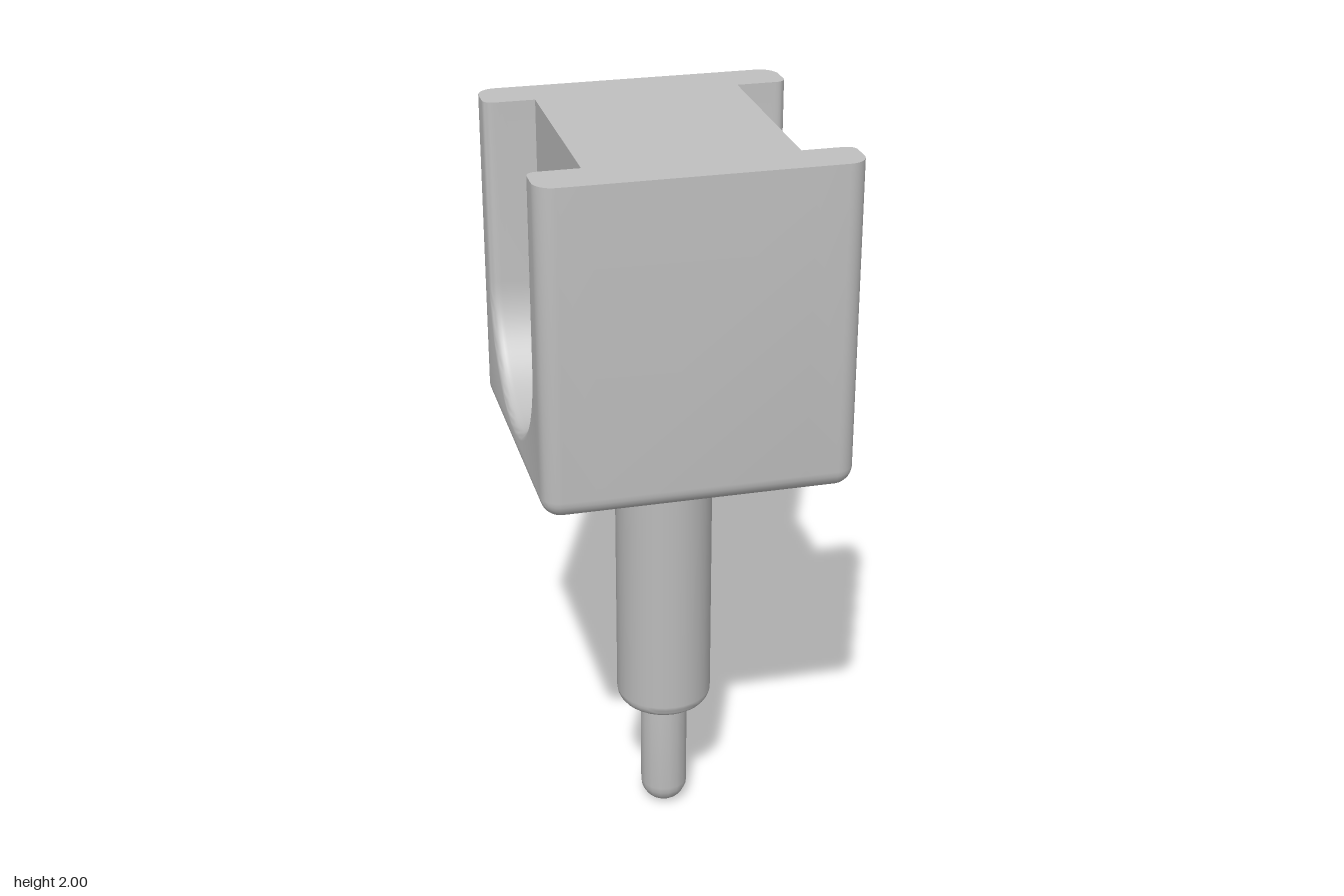
import * as THREE from 'three';
import { toCreasedNormals } from 'three/addons/utils/BufferGeometryUtils.js';

const HALF = 0.4, BOTTOM = 1.145, TOP = 2, ROUND = 0.05;
const SLOT_X = 0.267, SLOT_R = 0.277, SLOT_Y = 1.515, SLOT_ROUND = 0.025;

// Block outline, counterclockwise: inset shrinks the outside, flare widens the slot
function outline(inset, flare, slot) {
  const w = HALF - inset, low = BOTTOM + inset, r = Math.max(ROUND - inset, 0.002);
  const pts = [];
  const arc = (cx, cy, rad, from, to, n) => {
    for (let i = 0; i <= n; i++) {
      const t = from + (to - from) * i / n;
      pts.push(new THREE.Vector2(cx + rad * Math.cos(t), cy + rad * Math.sin(t)));
    }
  };
  arc(-w + r, low + r, r, Math.PI, Math.PI * 1.5, 6);
  arc(w - r, low + r, r, Math.PI * 1.5, Math.PI * 2, 6);
  pts.push(new THREE.Vector2(w, TOP));
  if (slot) {
    const R = SLOT_R + flare;
    pts.push(new THREE.Vector2(R, TOP));
    arc(0, SLOT_Y, R, 0, -Math.PI, 32);
    pts.push(new THREE.Vector2(-R, TOP));
  }
  pts.push(new THREE.Vector2(-w, TOP));
  return pts;
}

// Side wall with the U-shaped slot, lofted outwards along +x
function cheekGeometry() {
  const rows = [{ x: SLOT_X, pts: outline(0, 0, true) }];
  for (let i = 0; i <= 8; i++) {
    const t = i / 8 * Math.PI / 2;
    const x = HALF - ROUND + ROUND * Math.sin(t);
    const u = Math.max(0, x - (HALF - SLOT_ROUND));
    const flare = SLOT_ROUND - Math.sqrt(Math.max(0, SLOT_ROUND ** 2 - u * u));
    rows.push({ x, pts: outline(ROUND * (1 - Math.cos(t)), flare, true) });
  }
  const pos = [];
  const put = (row, i) => pos.push(row.x, row.pts[i].y, -row.pts[i].x);
  const n = rows[0].pts.length;
  for (let k = 0; k + 1 < rows.length; k++) {
    const a = rows[k], b = rows[k + 1];
    for (let i = 0; i < n; i++) {
      const j = (i + 1) % n;
      put(a, i); put(a, j); put(b, j);
      put(a, i); put(b, j); put(b, i);
    }
  }
  // Flat outer face
  const last = rows[rows.length - 1];
  for (const face of THREE.ShapeUtils.triangulateShape(last.pts, [])) {
    for (const i of face) put(last, i);
  }
  const geo = new THREE.BufferGeometry();
  geo.setAttribute('position', new THREE.Float32BufferAttribute(pos, 3));
  return toCreasedNormals(geo, 0.6);
}

// Turned part from a profile of [radius, height], bottom to top
function turned(profile, sides) {
  const pts = profile.map(([r, y]) => new THREE.Vector2(r, y));
  return toCreasedNormals(new THREE.LatheGeometry(pts, sides), 0.6);
}

// Points on a quarter circle for the profiles
function quarter(cx, cy, r, from, to, n = 6) {
  return Array.from({ length: n + 1 }, (_, i) => {
    const t = from + (to - from) * i / n;
    return [Math.max(0, cx + r * Math.cos(t)), cy + r * Math.sin(t)];
  });
}

export function createModel() {
  const group = new THREE.Group();
  const grey = new THREE.MeshStandardMaterial({ color: 0xc0c0c0 });
  grey.name = 'light grey';
  const add = (name, geo) => {
    const mesh = new THREE.Mesh(geo, grey);
    mesh.name = name;
    group.add(mesh);
    return mesh;
  };

  // Block core between the two slots
  const core = new THREE.ExtrudeGeometry(new THREE.Shape(outline(0, 0, false)),
    { depth: SLOT_X * 2, bevelEnabled: false });
  core.translate(0, 0, -SLOT_X).rotateY(Math.PI / 2);
  add('blockCore', toCreasedNormals(core, 0.6));

  // Slotted walls on both sides
  const cheek = cheekGeometry();
  add('leftSlotWall', cheek);
  add('rightSlotWall', cheek).rotation.y = Math.PI;

  // Stem with rounded lower rim and a fillet under the block
  const H = Math.PI / 2;
  add('stem', turned([
    [0, 0.34],
    ...quarter(0.09, 0.38, 0.04, -H, 0),
    ...quarter(0.18, 1.097, 0.05, Math.PI, H),
  ], 32));

  // Thin pin with a domed tip
  add('pin', turned([...quarter(0, 0.065, 0.065, -H, 0), [0.065, 0.35]], 16));

  return group;
}
